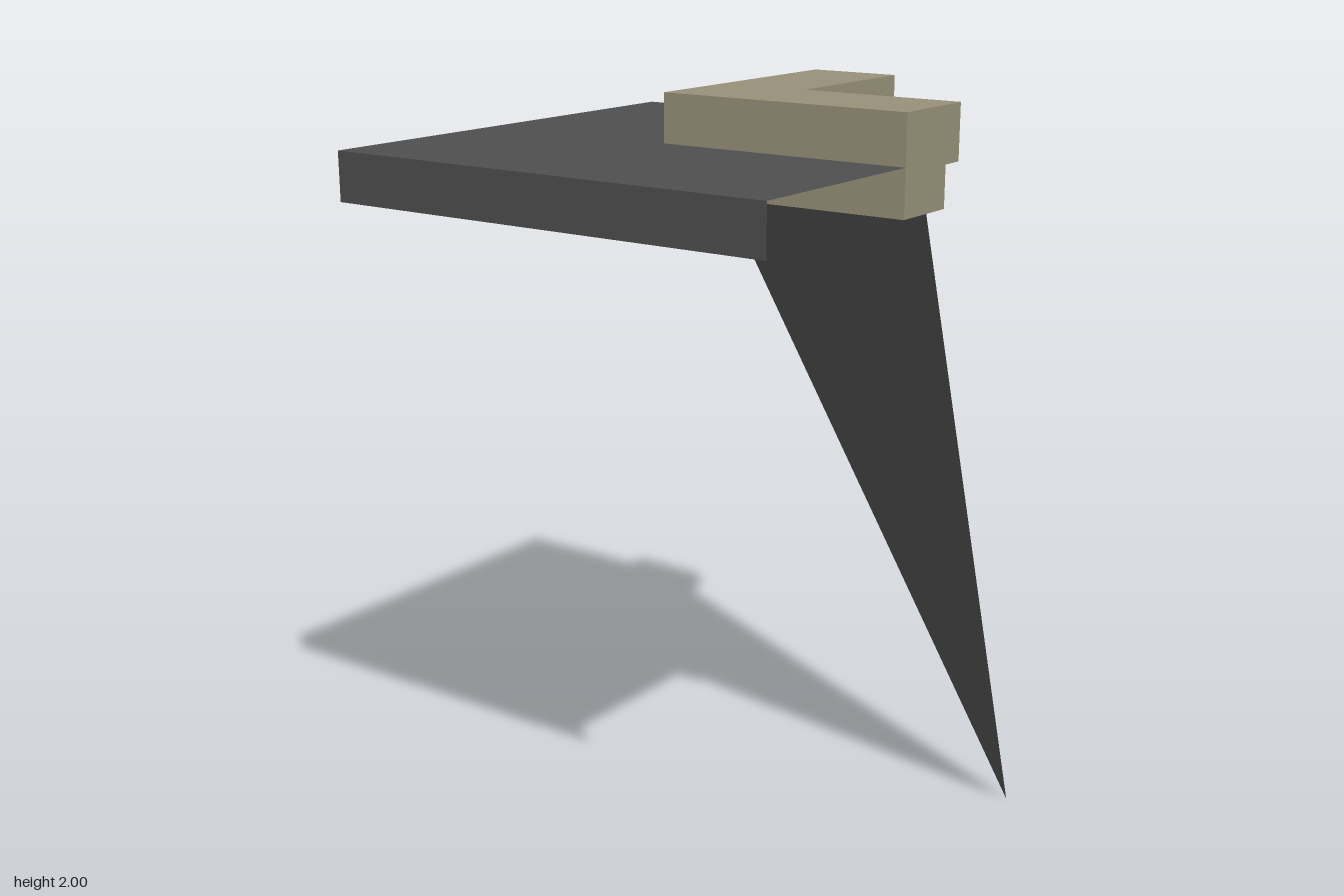
import * as THREE from 'three';

const H = 0.625; // half width of the slab

// L-shaped outline around the +x / -z corner, from offset a to offset b
function cornerShape(a, b) {
  return new THREE.Shape(
    [[a, a], [H, a], [H, b], [b, b], [b, H], [a, H]].map(([x, y]) => new THREE.Vector2(x, y))
  );
}

export function createModel() {
  const stone = new THREE.MeshStandardMaterial({ color: 0x4f4f4f, side: THREE.DoubleSide });
  stone.name = 'dark stone';
  const sand = new THREE.MeshStandardMaterial({ color: 0x98927a });
  sand.name = 'sand';

  const model = new THREE.Group();
  model.name = 'cornerSection';
  const add = (name, geometry, material) => {
    const mesh = new THREE.Mesh(geometry, material);
    mesh.name = name;
    model.add(mesh);
    return mesh;
  };

  // Thin floor sheet with its two outer skirts, open underneath and at the cut sides
  add('floor', new THREE.ShapeGeometry(cornerShape(-H, -0.06)).rotateX(-Math.PI / 2), stone)
    .position.y = 1.875;
  const skirt = new THREE.PlaneGeometry(2 * H, 0.125);
  add('frontSkirt', skirt, stone).position.set(0, 1.8125, H);
  const side = add('sideSkirt', skirt, stone);
  side.position.set(-H, 1.8125, 0);
  side.rotation.y = -Math.PI / 2;

  // Stepped rim: the upper course overhangs the lower one on the inside
  for (const [name, inner, bottom, top] of [
    ['rimLower', 0.125, 1.755, 1.86],
    ['rimUpper', 0.1875, 1.86, 2],
  ]) {
    const geometry = new THREE.ExtrudeGeometry(cornerShape(-0.0625, inner), {
      depth: top - bottom, bevelEnabled: false,
    });
    add(name, geometry.rotateX(-Math.PI / 2), sand).position.y = bottom;
  }

  // Two sloping sheets of the hollow inverted spike, meeting in a corner edge
  const c = 0.04, y = 1.757;
  const slopes = {
    spikeFront: [c, y, -c, H, 0, -H, H, y, -c],
    spikeSide: [c, y, -c, c, y, -H, H, 0, -H],
  };
  for (const [name, corners] of Object.entries(slopes)) {
    const geometry = new THREE.BufferGeometry();
    geometry.setAttribute('position', new THREE.Float32BufferAttribute(corners, 3));
    geometry.computeVertexNormals();
    add(name, geometry, stone);
  }

  return model;
}
